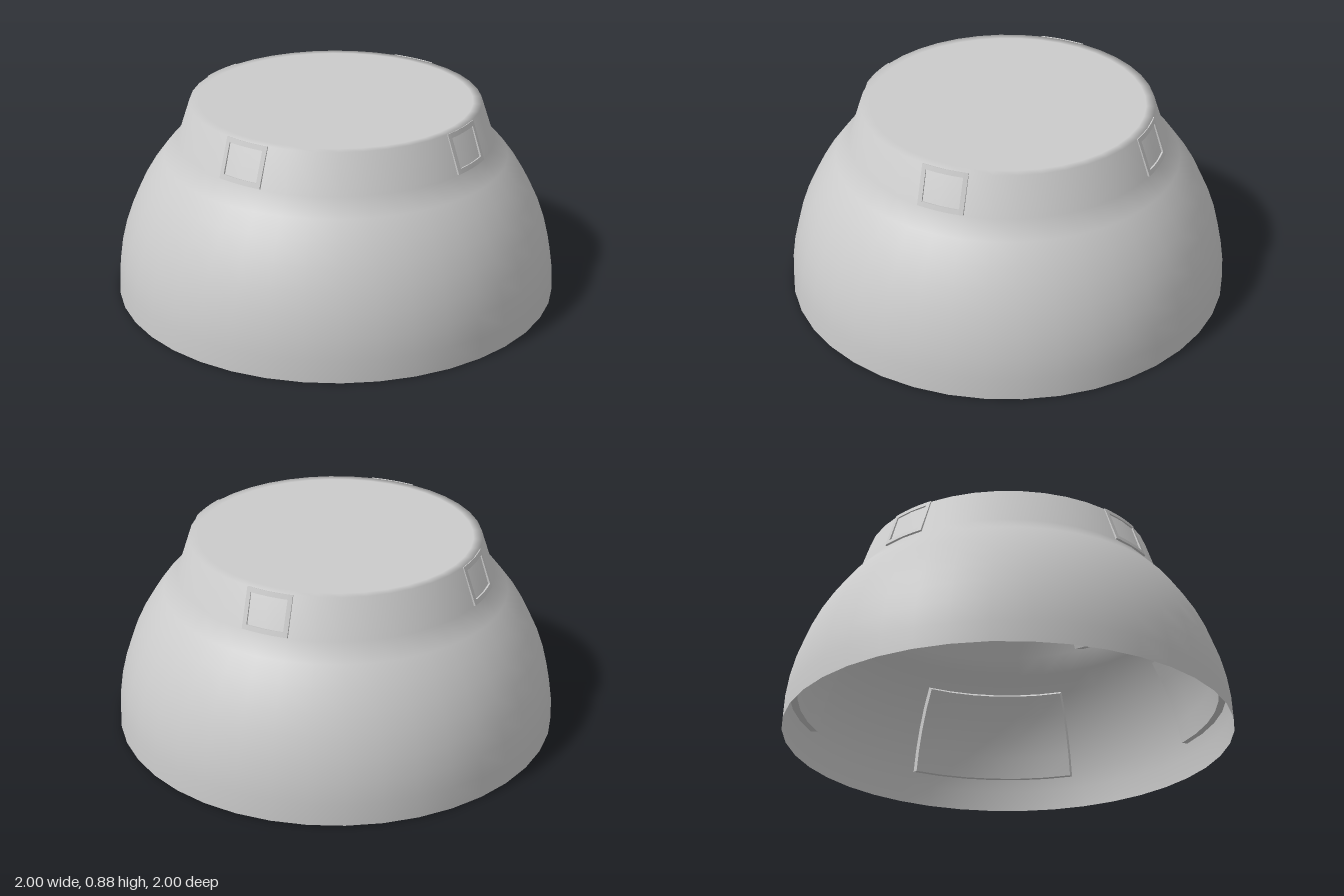
import * as THREE from 'three';

const RIM = 0.71, NECK_R = 0.65, TOP = 0.88; // shoulder radius/height, neck radius, total height
const rad = THREE.MathUtils.degToRad;

// Box spanning the given ranges, with each vertex moved by a rule
function bentBox([x0, x1], [y0, y1], [z0, z1], sx, sy, rule) {
  const geo = new THREE.BoxGeometry(x1 - x0, y1 - y0, z1 - z0, sx, sy, 1);
  geo.translate((x0 + x1) / 2, (y0 + y1) / 2, (z0 + z1) / 2);
  const pos = geo.attributes.position;
  const p = new THREE.Vector3();
  for (let i = 0; i < pos.count; i++) {
    p.fromBufferAttribute(pos, i);
    rule(p);
    pos.setXYZ(i, p.x, p.y, p.z);
  }
  geo.computeVertexNormals();
  return geo;
}

// (angle, latitude, radius) to a point on the dome
function onDome(p) {
  const [a, lat, r] = [rad(p.x), rad(p.y), p.z];
  p.set(r * Math.cos(lat) * Math.sin(a), r * Math.sin(lat), r * Math.cos(lat) * Math.cos(a));
}

// (sideways, fraction up the neck, depth) to a point on the sloping neck
function onNeck(p) {
  const tilt = Math.atan2(RIM - NECK_R, TOP - RIM);
  const r = RIM + (NECK_R - RIM) * p.y + p.z * Math.cos(tilt);
  p.set(p.x, RIM + (TOP - RIM) * p.y + p.z * Math.sin(tilt), Math.sqrt(r * r - p.x * p.x));
}

export function createModel() {
  const model = new THREE.Group();
  const material = new THREE.MeshStandardMaterial({ color: 0xcccccc, side: THREE.DoubleSide });
  const add = (parent, name, geo) => {
    const mesh = new THREE.Mesh(geo, material);
    mesh.name = name;
    parent.add(mesh);
    return mesh;
  };

  // Open dome, sloping neck and flat roof in one smooth shell
  const profile = [];
  for (let i = 0; i <= 8; i++) {
    const lat = rad(45) * i / 8;
    profile.push(new THREE.Vector2(Math.cos(lat), Math.sin(lat)));
  }
  profile.push(new THREE.Vector2(NECK_R, TOP), new THREE.Vector2(0.61, TOP), new THREE.Vector2(0, TOP));
  add(model, 'domeShell', new THREE.LatheGeometry(profile, 40));

  // Window parts: four frame bars around a recessed pane
  const w = 0.105, b = 0.02, bv = 0.12, depth = [-0.07, 0.004];
  const windowParts = [
    ['windowPostRight', [-w, -w + b], [0, 1], depth],
    ['windowPostLeft', [w - b, w], [0, 1], depth],
    ['windowSill', [-w + b, w - b], [0, bv], depth],
    ['windowLintel', [-w + b, w - b], [1 - bv, 1], depth],
    ['windowPane', [-w + b, w - b], [bv, 1 - bv], [-0.055, -0.014]],
  ].map(([name, x, y, z]) => [name, bentBox(x, y, z, 4, 1, onNeck)]);

  // Curved panel on the inside of the dome
  const panel = bentBox([-24, 24], [9, 34], [0.95, 0.985], 6, 4, onDome);

  for (let i = 0; i < 4; i++) {
    const turn = i * Math.PI / 2;
    const frame = new THREE.Group();
    frame.name = 'window';
    for (const [name, geo] of windowParts) add(frame, name, geo);
    frame.rotation.y = turn - rad(18);
    model.add(frame);
    add(model, 'innerPanel', panel).rotation.y = turn + rad(27);
  }
  return model;
}
